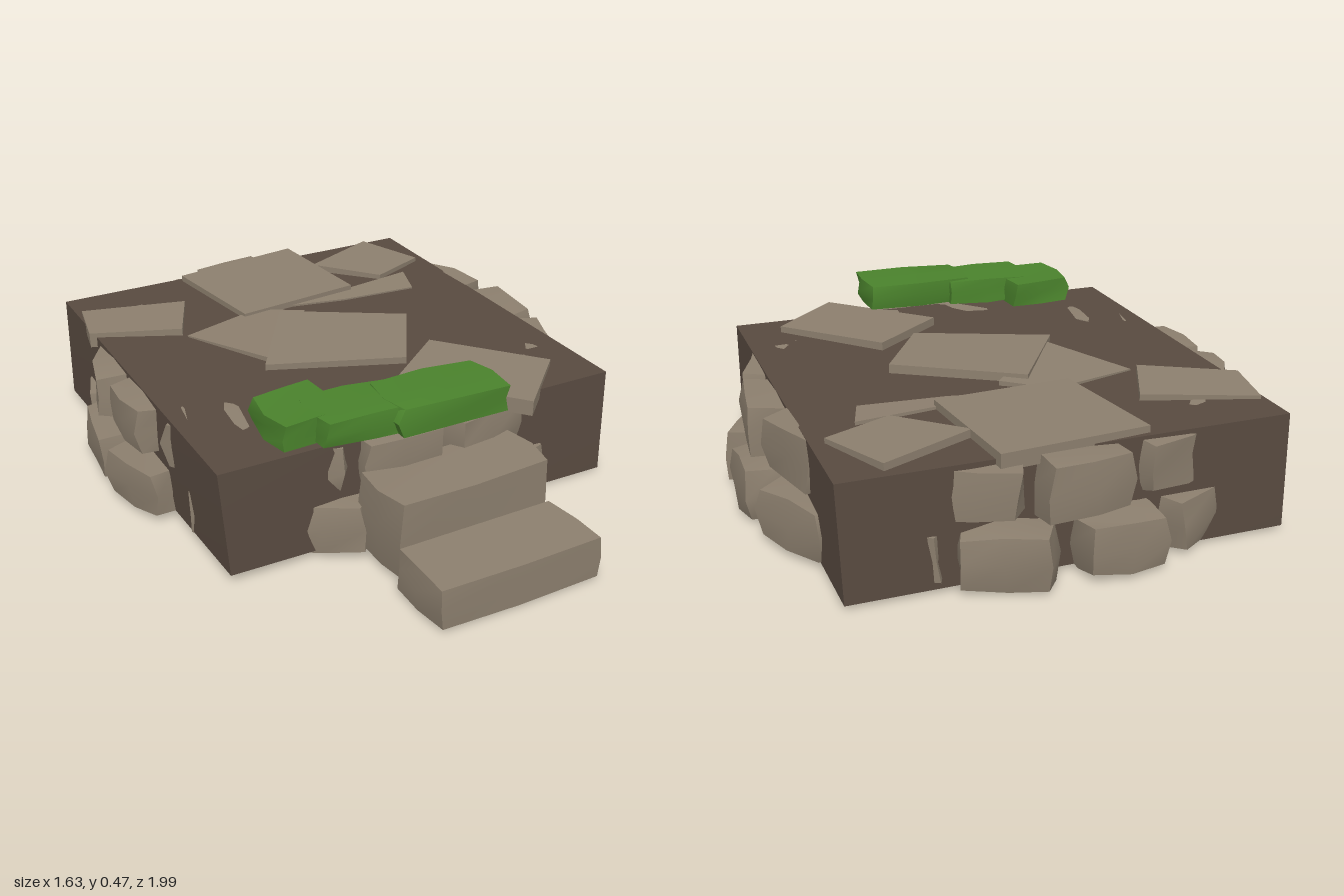
import * as THREE from 'three';
import { mergeVertices, toCreasedNormals } from 'three/addons/utils/BufferGeometryUtils.js';

const mat = (name, color) => {
  const m = new THREE.MeshStandardMaterial({ color });
  m.name = name;
  return m;
};

// repeatable noise in -1..1 from a position and a seed
const noise = (x, y, z, s) => {
  const v = Math.sin(x * 12.9898 + y * 78.233 + z * 37.719 + s * 4.137) * 43758.5453;
  return (v - Math.floor(v)) * 2 - 1;
};

// rough block: a subdivided box with pulled-in edges and jittered points
function rock(w, h, d, seed, jitter = 0.08, round = 0.06) {
  let g = new THREE.BoxGeometry(2, 2, 2, 2, 2, 2);
  g.deleteAttribute('normal');
  g.deleteAttribute('uv');
  g = mergeVertices(g);
  const p = g.attributes.position;
  for (let i = 0; i < p.count; i++) {
    const x = Math.round(p.getX(i)), y = Math.round(p.getY(i)), z = Math.round(p.getZ(i));
    const k = 1 - round * (Math.abs(x) + Math.abs(y) + Math.abs(z) - 1);
    p.setXYZ(i,
      (x * k + noise(x, y, z, seed) * jitter) * w / 2,
      (y * k + noise(x, y, z, seed + 31) * jitter) * h / 2,
      (z * k + noise(x, y, z, seed + 67) * jitter) * d / 2);
  }
  return toCreasedNormals(g, 0.95);
}

// flat paving slab from [x, z] outline corners, with a gentle tilt
function slab(points, top, tiltX, tiltZ) {
  const cx = points.reduce((s, q) => s + q[0], 0) / points.length;
  const cz = points.reduce((s, q) => s + q[1], 0) / points.length;
  const shape = new THREE.Shape(points.map(([x, z]) => new THREE.Vector2(x - cx, cz - z)));
  const g = new THREE.ExtrudeGeometry(shape, { depth: 0.05, bevelEnabled: false });
  g.rotateX(-Math.PI / 2);
  g.translate(0, -0.05, 0);
  g.rotateX(tiltX);
  g.rotateZ(tiltZ);
  g.translate(cx, top, cz);
  return g;
}

export function createModel() {
  const model = new THREE.Group();
  model.name = 'stonePlatform';
  const stone = mat('stone', 0x8c7f6e);
  const earth = mat('earth', 0x584a40);
  const moss = mat('moss', 0x4a822c);

  const add = (name, geometry, material, x = 0, y = 0, z = 0, turn = 0) => {
    const m = new THREE.Mesh(geometry, material);
    m.name = name;
    m.position.set(x, y, z);
    m.rotation.y = turn;
    model.add(m);
    return m;
  };

  // earth core with slightly uneven corners
  const core = new THREE.BoxGeometry(1.33, 0.34, 1.36);
  const cp = core.attributes.position;
  for (let i = 0; i < cp.count; i++) {
    const x = Math.sign(cp.getX(i)), y = Math.sign(cp.getY(i)), z = Math.sign(cp.getZ(i));
    cp.setXYZ(i,
      cp.getX(i) + noise(x, y, z, 3) * 0.012,
      cp.getY(i) + noise(x, y, z, 5) * 0.012,
      cp.getZ(i) + noise(x, y, z, 8) * 0.014);
  }
  core.computeVertexNormals();
  add('earthCore', core, earth, -0.01, 0.192, -0.187);

  // two staggered rings of wall stones
  const rows = [
    { name: 'lowerWallStone', start: -99, radius: 0.705, y: 0.1 },
    { name: 'upperWallStone', start: 3, radius: 0.665, y: 0.28 },
  ];
  rows.forEach((row, r) => {
    for (let i = 0; i < 15; i++) {
      const seed = r * 40 + i * 2 + 1;
      const a = THREE.MathUtils.degToRad(row.start + i * 24 + noise(i, r, 0, 2) * 1.5);
      const w = 0.265 + noise(i, r, 1, 4) * 0.025;
      const h = 0.168 + noise(i, r, 2, 6) * 0.012;
      add(row.name, rock(0.2, h, w, seed, 0.1, 0.07), stone,
        Math.cos(a) * row.radius, row.y, -0.19 + Math.sin(a) * row.radius,
        -a + noise(i, r, 3, 9) * 0.12);
    }
  });

  // front steps
  add('lowerStep', rock(0.54, 0.135, 0.235, 12, 0.03, 0.02), stone, -0.005, 0.08, 0.877);
  add('upperStep', rock(0.54, 0.26, 0.23, 17, 0.04, 0.03), stone, 0, 0.15, 0.637, 0.02);

  // paving slabs: outline, top height, tilts
  const slabs = [
    [[[-0.24, -0.84], [0.22, -0.89], [0.26, -0.46], [-0.18, -0.42]], 0.39, 0.012, 0.01],
    [[[0.23, -0.70], [0.52, -0.83], [0.62, -0.60], [0.41, -0.51]], 0.386, 0.03, -0.02],
    [[[-0.66, -0.73], [-0.32, -0.62], [-0.42, -0.40], [-0.70, -0.53]], 0.385, -0.02, 0.02],
    [[[-0.07, -0.37], [0.30, -0.14], [0.13, 0.14], [-0.29, -0.03]], 0.388, 0.02, 0.01],
    [[[-0.41, -0.38], [-0.12, -0.46], [0.02, -0.36], [-0.24, -0.05]], 0.377, -0.02, 0.02],
    [[[0.26, 0.07], [0.53, 0.37], [0.31, 0.58], [0.02, 0.26]], 0.384, 0.015, -0.015],
    [[[0.00, -0.44], [0.51, -0.51], [0.47, -0.38], [0.20, -0.40]], 0.372, 0.05, 0],
  ];
  slabs.forEach(([outline, top, tx, tz]) => add('pavingSlab', slab(outline, top, tx, tz), stone));

  // moss pads along the front edge
  add('mossPad', rock(0.23, 0.085, 0.23, 21, 0.1, 0.05), moss, -0.385, 0.428, 0.395, 0.06);
  add('mossPad', rock(0.31, 0.085, 0.21, 24, 0.07, 0.05), moss, -0.235, 0.43, 0.465, -0.06);
  add('mossPad', rock(0.38, 0.09, 0.22, 28, 0.06, 0.05), moss, 0.02, 0.432, 0.5, -0.03);

  return model;
}
